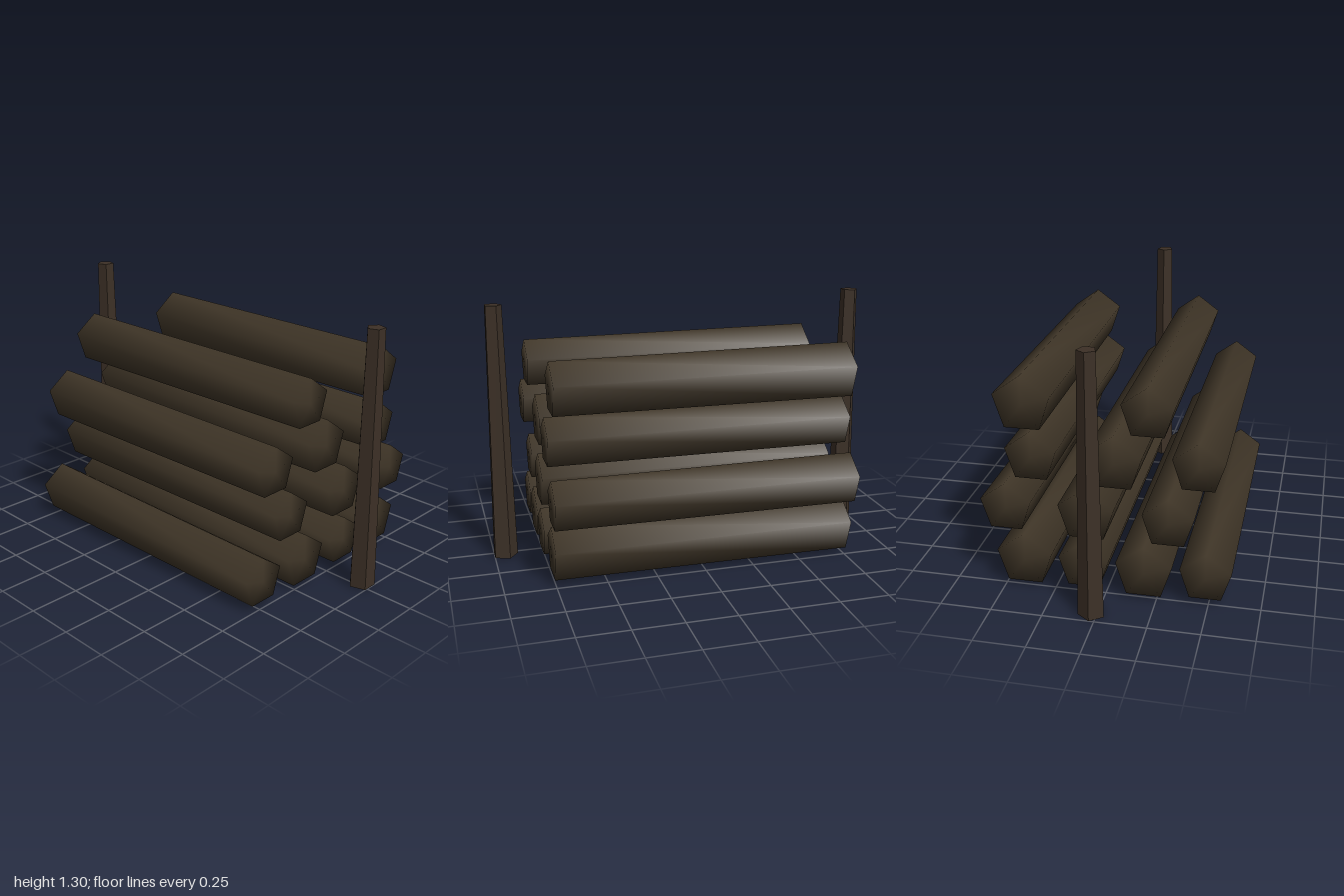
import * as THREE from 'three';
import { mergeVertices } from 'three/addons/utils/BufferGeometryUtils.js';

const logWood = new THREE.MeshStandardMaterial({ color: 0x3f3527 });
logWood.name = 'log wood';
const postWood = new THREE.MeshStandardMaterial({ color: 0x3c3026 });
postWood.name = 'post wood';

// Five-sided tapered bar along y with one corner towards -x
function bar(topRadius, bottomRadius, length) {
  return new THREE.CylinderGeometry(topRadius, bottomRadius, length, 5, 1, false, -Math.PI / 2);
}

// Log lying along x, corner up, thinner at its +x end, with normals shared over the ends
function makeLog(radius, left, right) {
  const length = right - left;
  let geometry = bar(radius * 0.95, radius, length);
  geometry.rotateZ(-Math.PI / 2);
  geometry.deleteAttribute('uv');
  geometry.deleteAttribute('normal');
  geometry = mergeVertices(geometry, 1e-4);
  geometry.computeVertexNormals();
  return new THREE.Mesh(geometry, logWood);
}

// Upright post with flat facets
function makePost() {
  const geometry = bar(0.045, 0.066, 1.305).toNonIndexed();
  geometry.computeVertexNormals();
  return new THREE.Mesh(geometry, postWood);
}

export function createModel() {
  const group = new THREE.Group();
  group.name = 'logRack';

  // Stacked rows from the bottom up: z, radius, left end, right end
  const thin = 0.13, thick = 0.143;
  const rows = [
    { y: 0.143, logs: [[0.484, thin, -0.765, 0.755], [0.189, thick, -0.775, 0.76],
      [-0.106, thin, -0.765, 0.765], [-0.4, thick, -0.765, 0.755]] },
    { y: 0.418, logs: [[0.304, thin, -0.775, 0.76], [-0.09, thick, -0.765, 0.765],
      [-0.484, thin, -0.765, 0.76]] },
    { y: 0.692, logs: [[0.436, thin, -0.73, 0.775], [0.042, thick, -0.76, 0.75],
      [-0.352, thin, -0.76, 0.765]] },
    { y: 0.956, logs: [[0.205, thin, -0.765, 0.775], [-0.385, thick, -0.765, 0.737]] },
  ];
  rows.forEach(({ y, logs }, row) => {
    logs.forEach(([z, radius, left, right], i) => {
      const log = makeLog(radius, left, right);
      log.name = `log row ${row + 1} number ${i + 1}`;
      log.position.set((left + right) / 2, y, z);
      group.add(log);
    });
  });

  // Posts at both ends of the stack
  for (const [name, x] of [['rightPost', -0.934], ['leftPost', 0.946]]) {
    const post = makePost();
    post.name = name;
    post.position.set(x, 0.6525, -0.025);
    group.add(post);
  }
  return group;
}
